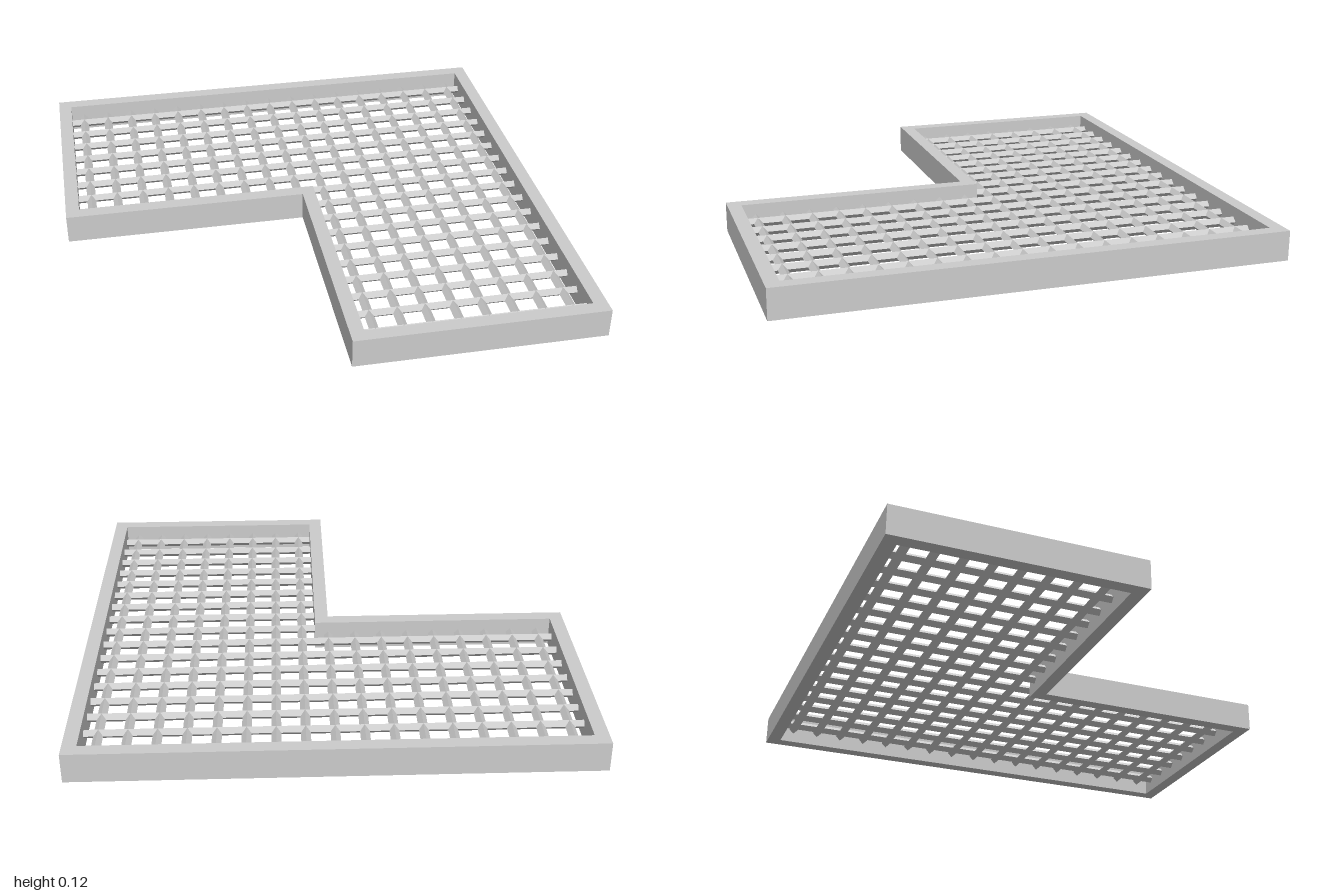
import * as THREE from 'three';

const HEIGHT = 0.12, WALL = 1 / 18, PITCH = 1 / 9, BAR = 0.0187;

// L-shaped outline inset by d, drawn as (x, -z)
const outline = (d) => [
  [-1 + d, d], [d, d], [d, -1 + d], [1 - d, -1 + d], [1 - d, 1 - d], [-1 + d, 1 - d],
].map(([x, y]) => new THREE.Vector2(x, y));

export function createModel() {
  const model = new THREE.Group();
  const material = new THREE.MeshStandardMaterial({ color: 0xcccccc, flatShading: true });

  // L-shaped rim with an open centre
  const shape = new THREE.Shape(outline(0));
  shape.holes.push(new THREE.Path(outline(WALL).reverse()));
  const rimGeometry = new THREE.ExtrudeGeometry(shape, { depth: HEIGHT, bevelEnabled: false });
  rimGeometry.rotateX(-Math.PI / 2);
  const rim = new THREE.Mesh(rimGeometry, material);
  rim.name = 'frame';
  model.add(rim);

  // Diamond-section bars, ends buried inside the rim
  const bury = WALL / 2;
  const bar = (name, from, to) => {
    const geometry = new THREE.CylinderGeometry(BAR, BAR, to - from, 4, 1);
    geometry.rotateX(Math.PI / 2);
    geometry.translate(0, 0, (from + to) / 2);
    const mesh = new THREE.Mesh(geometry, material);
    mesh.name = name;
    mesh.position.y = HEIGHT / 2;
    return mesh;
  };

  const grid = new THREE.Group();
  grid.name = 'grid';
  for (let k = -8; k <= 8; k++) {
    // Lengthwise bars: short over the side arm, full length over the front arm
    const long = bar('lengthwiseBar', -1 + bury, k > 0 ? 1 - bury : -bury);
    long.position.x = k * PITCH;
    grid.add(long);

    // Crosswise bars: full width behind the notch, short in front of it
    const cross = bar('crosswiseBar', k < 0 ? -1 + bury : bury, 1 - bury);
    cross.rotation.y = Math.PI / 2;
    cross.position.z = k * PITCH;
    grid.add(cross);
  }
  model.add(grid);
  return model;
}
